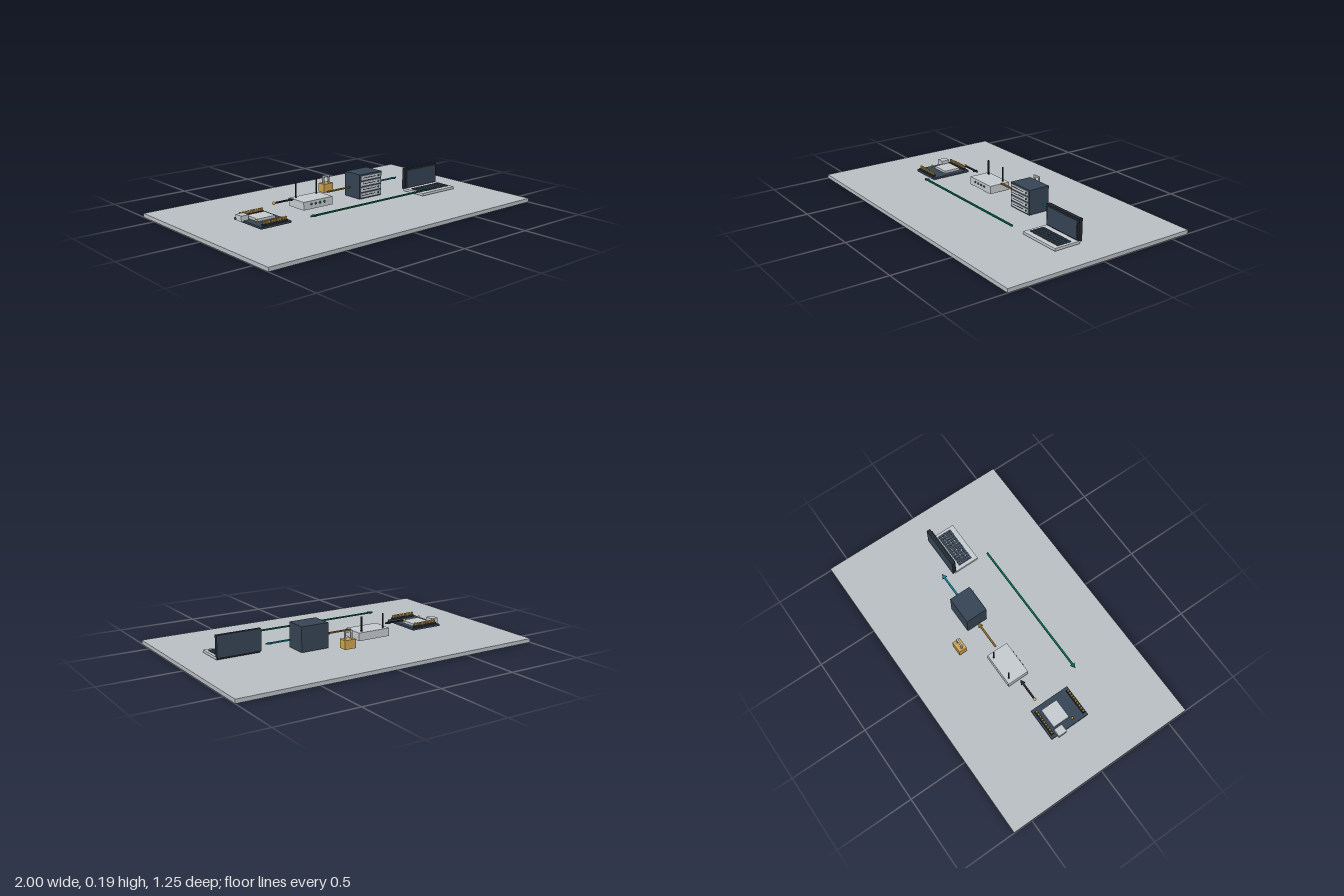
import * as THREE from 'three';

const paint = (name, color) => {
  const m = new THREE.MeshStandardMaterial({ color });
  m.name = name;
  return m;
};

export function createModel() {
  const root = new THREE.Group();
  root.name = 'networkDiagram';
  const slab = paint('slabGrey', 0xb9bfc4);
  const light = paint('lightGrey', 0xc6cbcf);
  const navy = paint('navy', 0x364454);
  const black = paint('nearBlack', 0x23282f);
  const gold = paint('gold', 0xcfa550);
  const bronze = paint('bronze', 0x8a6a2c);
  const teal = paint('teal', 0x167f92);
  const green = paint('green', 0x0a6848);

  const group = (name) => {
    const g = new THREE.Group();
    g.name = name;
    root.add(g);
    return g;
  };
  const add = (parent, name, geo, mat, x = 0, y = 0, z = 0) => {
    const m = new THREE.Mesh(geo, mat);
    m.name = name;
    m.position.set(x, y, z);
    parent.add(m);
    return m;
  };
  // box given by its minimum and maximum on each axis
  const box = (parent, name, mat, x0, x1, y0, y1, z0, z1) =>
    add(parent, name, new THREE.BoxGeometry(x1 - x0, y1 - y0, z1 - z0), mat,
      (x0 + x1) / 2, (y0 + y1) / 2, (z0 + z1) / 2);

  box(root, 'basePlate', slab, -1, 1, 0, 0.024, -0.625, 0.625);

  // Circuit board with chip, connector, lamp and two pin headers
  const board = group('circuitBoard');
  box(board, 'boardPlate', navy, -0.69, -0.48, 0.038, 0.05, -0.135, 0.13);
  box(board, 'chip', light, -0.64, -0.515, 0.05, 0.065, -0.085, 0.025);
  box(board, 'connector', light, -0.705, -0.655, 0.046, 0.08, -0.095, -0.04);
  add(board, 'lamp', new THREE.SphereGeometry(0.008, 16, 10), gold, -0.658, 0.064, 0.037);
  for (const z of [-0.115, 0.115]) {
    box(board, 'headerStrip', black, -0.67, -0.5, 0.05, 0.062, z - 0.009, z + 0.009);
    for (let i = 0; i < 9; i++) {
      const x = -0.66 + i * 0.01875;
      box(board, 'pin', gold, x - 0.005, x + 0.005, 0.062, 0.079, z - 0.005, z + 0.005);
    }
  }

  // Flat arrows along x
  const arrow = (name, mat, from, to, y, z) => {
    const d = Math.sign(to - from), len = Math.abs(to - from);
    const s = new THREE.Shape([
      [0, -0.006], [len - 0.03, -0.006], [len - 0.03, -0.016], [len, 0],
      [len - 0.03, 0.016], [len - 0.03, 0.006], [0, 0.006],
    ].map(([a, b]) => new THREE.Vector2(a, b)));
    const geo = new THREE.ExtrudeGeometry(s, { depth: 0.008, bevelEnabled: false });
    geo.translate(0, 0, -0.004).rotateX(-Math.PI / 2);
    const m = add(root, name, geo, mat, from, y, z);
    if (d < 0) m.rotation.y = Math.PI;
  };
  arrow('boardToRouterArrow', black, -0.44, -0.3, 0.1, -0.085);
  arrow('routerToServerArrow', bronze, -0.045, 0.143, 0.1, -0.085);
  arrow('serverToLaptopArrow', teal, 0.37, 0.535, 0.1, -0.085);
  arrow('returnArrow', green, 0.5, -0.425, 0.085, 0.23);
  add(root, 'signalBall', new THREE.SphereGeometry(0.01, 20, 12), gold, -0.445, 0.1, -0.085);

  // Router with two antennas and four lamps
  const router = group('router');
  box(router, 'routerBody', light, -0.28, -0.06, 0.04, 0.09, -0.155, -0.015);
  for (const x of [-0.248, -0.092])
    add(router, 'antenna', new THREE.CylinderGeometry(0.005, 0.005, 0.095, 14), black, x, 0.135, -0.132);
  for (let i = 0; i < 4; i++)
    add(router, 'routerLamp', new THREE.SphereGeometry(0.007, 14, 10), green, -0.222 + i * 0.0325, 0.07, -0.014);

  // Server with four drive bays
  const server = group('server');
  box(server, 'serverCase', navy, 0.156, 0.336, 0.033, 0.187, -0.153, -0.013);
  for (let i = 0; i < 4; i++) {
    const y = 0.055 + i * 0.0365;
    box(server, 'driveBay', light, 0.165, 0.326, y - 0.013, y + 0.013, -0.014, -0.009);
    box(server, 'driveSlot', black, 0.178, 0.285, y - 0.002, y + 0.002, -0.01, -0.008);
    add(server, 'driveLamp', new THREE.SphereGeometry(0.006, 14, 10), green, 0.308, y, -0.009);
  }

  // Padlock
  const lock = group('padlock');
  box(lock, 'lockBody', gold, 0.05, 0.125, 0.048, 0.103, -0.284, -0.232);
  for (const x of [0.066, 0.109])
    box(lock, 'shackleLeg', light, x - 0.005, x + 0.005, 0.1, 0.145, -0.263, -0.253);
  box(lock, 'shackleTop', light, 0.061, 0.114, 0.143, 0.153, -0.263, -0.253);

  // Laptop with upright screen and rows of keys
  const laptop = group('laptop');
  box(laptop, 'laptopBase', light, 0.522, 0.803, 0.029, 0.045, 0, 0.172);
  box(laptop, 'screenLid', black, 0.522, 0.803, 0.04, 0.174, -0.013, 0.009);
  box(laptop, 'screenPanel', navy, 0.534, 0.791, 0.052, 0.163, 0.009, 0.016);
  box(laptop, 'lidBack', navy, 0.522, 0.803, 0.04, 0.174, -0.015, -0.013);
  const hinge = add(laptop, 'hinge', new THREE.CylinderGeometry(0.006, 0.006, 0.27, 14), black, 0.6625, 0.034, 0);
  hinge.rotation.z = Math.PI / 2;
  for (let r = 0; r < 4; r++)
    for (let c = 0; c < 12; c++) {
      const x = 0.545 + c * 0.0204, z = 0.047 + r * 0.024;
      box(laptop, 'key', navy, x, x + 0.016, 0.045, 0.05, z, z + 0.021);
    }
  return root;
}
